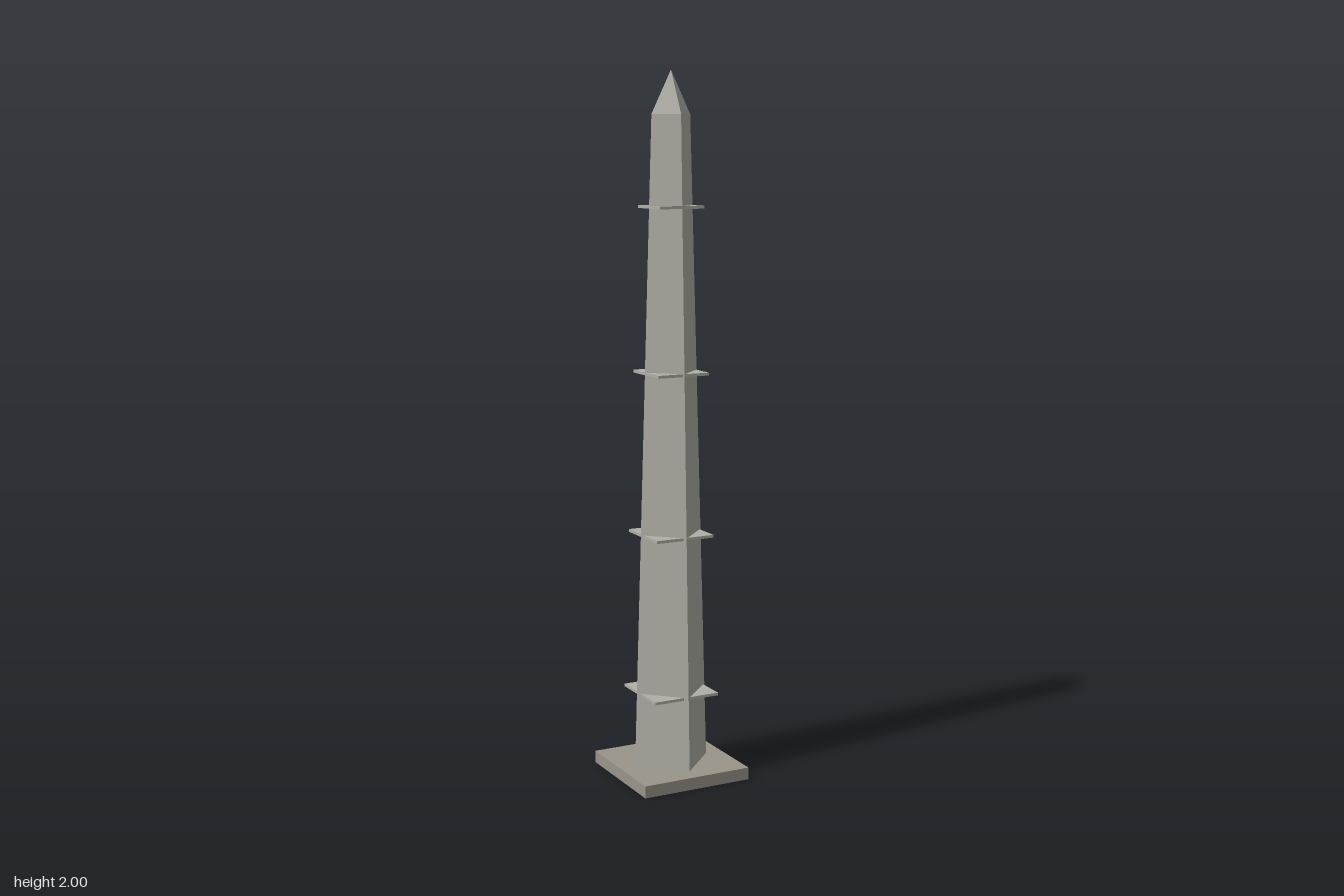
import * as THREE from 'three';

const stone = new THREE.MeshStandardMaterial({ color: 0xb0b0a8, flatShading: true });
const plinthStone = new THREE.MeshStandardMaterial({ color: 0x9a958a, flatShading: true });

function addPart(group, name, geometry, material, y) {
  const mesh = new THREE.Mesh(geometry, material);
  mesh.name = name;
  mesh.position.y = y;
  group.add(mesh);
}

export function createModel() {
  const group = new THREE.Group();
  group.name = 'obelisk';
  const baseHeight = 0.035, shaftTop = 1.88, top = 2;
  const shaftHeight = shaftTop - baseHeight;

  // Square plinth
  addPart(group, 'base', new THREE.BoxGeometry(0.33, baseHeight, 0.33), plinthStone, baseHeight / 2);

  // Tapered four-sided shaft, corners on the x and z axes
  addPart(group, 'shaft', new THREE.CylinderGeometry(0.06, 0.116, shaftHeight, 4), stone,
    baseHeight + shaftHeight / 2);

  // Pointed cap
  addPart(group, 'pyramidTip', new THREE.ConeGeometry(0.06, top - shaftTop, 4), stone, (shaftTop + top) / 2);

  // Thin square bands, turned 45 degrees to the shaft and shrinking upward
  for (let i = 0; i < 4; i++) {
    const width = 0.2 - i * 0.0213;
    addPart(group, `band${i + 1}`, new THREE.BoxGeometry(width, 0.008, width), stone, 0.245 + i * 0.461);
  }
  return group;
}
